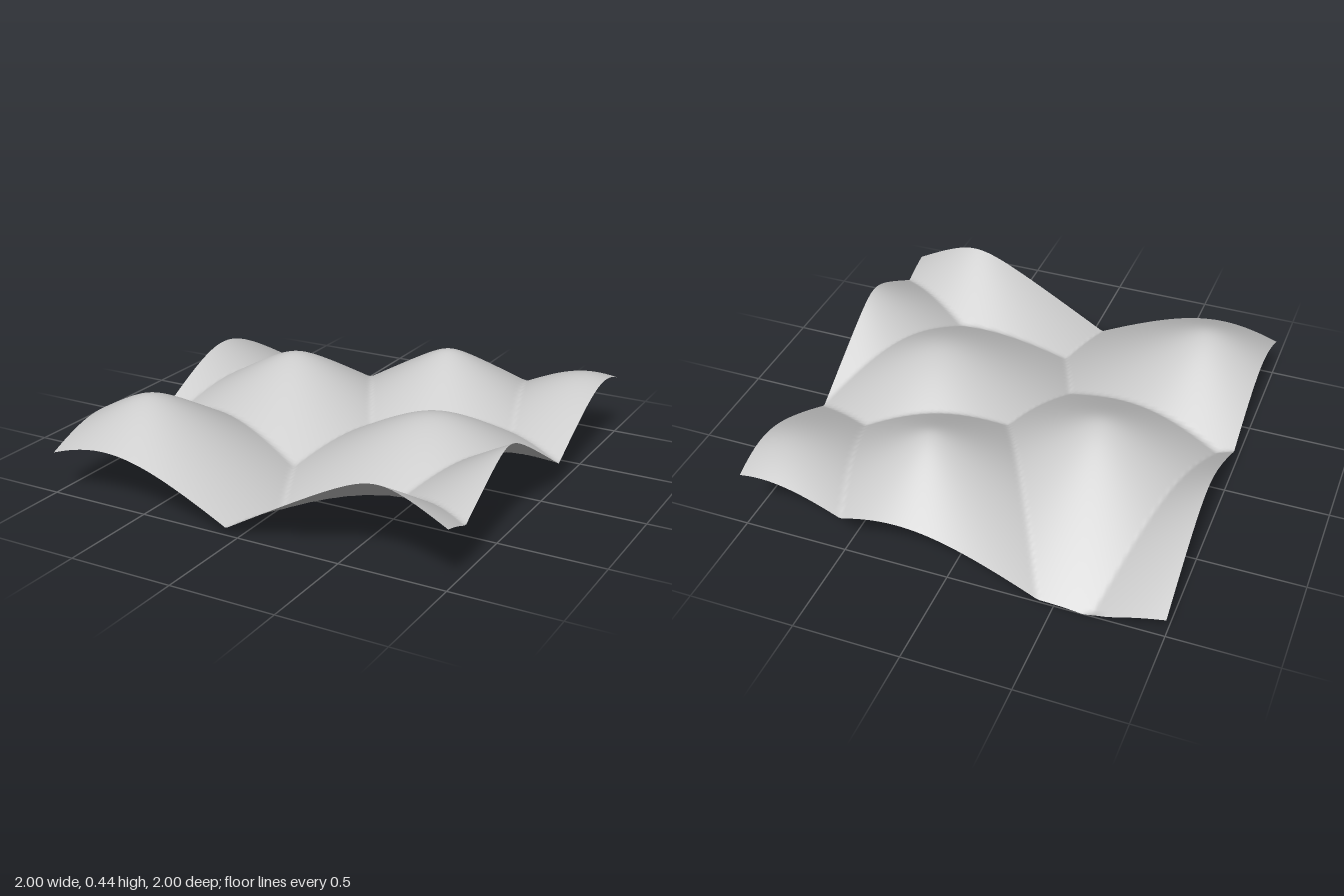
import * as THREE from 'three';

// Hill centres: x, z and off-plane offset (a larger offset gives a lower, rounder top)
const hills = [
  [-0.44, -0.22, 0.108],
  [0.24, -0.59, 0.075],
  [-0.71, 0.64, 0.108],
  [0.505, 0.118, 0.193],
  [0.68, 1.12, 0.075],
  [1.085, 0.41, 0.06],
  [0.9, -0.785, 0.215],
  [-1.22, -0.4, 0.1],
  [-0.98, -1.73, 0.08],
];

const PEAK = 0.485;
const SLOPE = 0.595;

// Cellular noise: height falls with the distance to the nearest hill centre
function heightAt(x, z) {
  const nearest = Math.min(...hills.map(([hx, hz, h]) => Math.hypot(x - hx, z - hz, h)));
  return Math.max(0, PEAK - SLOPE * nearest);
}

export function createModel() {
  const group = new THREE.Group();
  group.name = 'cellularTerrain';

  // Square sheet, displaced upwards
  const geometry = new THREE.PlaneGeometry(2, 2, 128, 128).rotateX(-Math.PI / 2);
  const pos = geometry.attributes.position;
  for (let i = 0; i < pos.count; i++) {
    pos.setY(i, heightAt(pos.getX(i), pos.getZ(i)));
  }
  geometry.computeVertexNormals();

  const terrain = new THREE.Mesh(
    geometry,
    new THREE.MeshStandardMaterial({ color: 0xcccccc, side: THREE.DoubleSide })
  );
  terrain.name = 'terrainSurface';
  group.add(terrain);
  return group;
}
